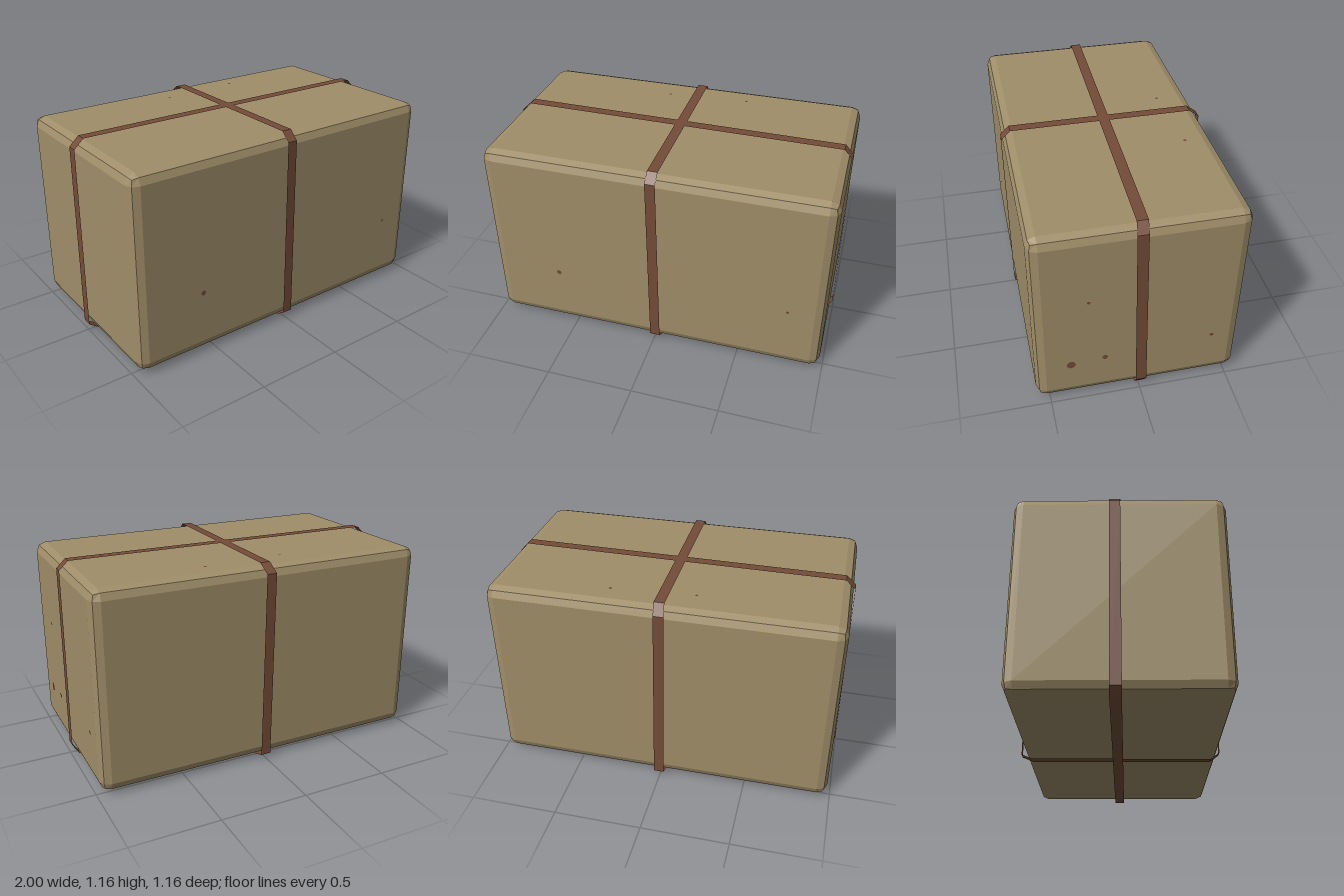
import * as THREE from 'three';
import { RoundedBoxGeometry } from 'three/addons/geometries/RoundedBoxGeometry.js';

const paper = new THREE.MeshStandardMaterial({ color: 0xa08e69, flatShading: true });
paper.name = 'brown paper';
const leather = new THREE.MeshStandardMaterial({ color: 0x744c38, flatShading: true, side: THREE.DoubleSide });
leather.name = 'strap brown';

// Closed thin ribbon; each point is [u, y, drift], the width runs across the loop
function ribbon(points, width, place) {
  const pos = [], index = [], n = points.length;
  for (const [u, y, drift] of points) {
    pos.push(...place(u, y, drift - width / 2), ...place(u, y, drift + width / 2));
  }
  for (let i = 0; i < n; i++) {
    const a = i * 2, b = ((i + 1) % n) * 2;
    index.push(a, b, a + 1, a + 1, b, b + 1);
  }
  const g = new THREE.BufferGeometry();
  g.setAttribute('position', new THREE.Float32BufferAttribute(pos, 3));
  g.setIndex(index);
  g.computeVertexNormals();
  return g;
}

export function createModel() {
  const group = new THREE.Group();
  const add = (geometry, material, name) => {
    const mesh = new THREE.Mesh(geometry, material);
    mesh.name = name;
    group.add(mesh);
    return mesh;
  };

  // Wrapped parcel with two-step bevelled edges
  add(new RoundedBoxGeometry(1.96, 1.125, 1.13, 1, 0.055), paper, 'parcel').position.set(0, 0.592, 0.008);

  // Strap over the front, top, back and bottom
  add(ribbon([
    [0.582, 0.05, 0.008], [0.582, 1.12, 0], [0.53, 1.17, 0],
    [-0.51, 1.17, 0], [-0.572, 1.12, -0.01],
    [-0.575, 0.04, 0.005], [-0.51, 0.014, 0.005], [0.53, 0.012, 0.01],
  ], 0.058, (z, y, x) => [x, y, z]), leather, 'shortStrap');

  // Strap over the two ends, top and bottom, slightly skewed
  add(ribbon([
    [0.995, 0.07, -0.008], [0.985, 1.12, 0.012], [0.935, 1.171, 0.005],
    [-0.935, 1.171, -0.02], [-0.99, 1.12, -0.02],
    [-1, 0.05, -0.012], [-0.94, 0.008, -0.012], [0.955, 0.01, -0.01],
  ], 0.06, (x, y, z) => [x, y, z]), leather, 'longStrap');

  // Small stains: [x, y, z, radius] on the sides and top
  const stains = [
    [0.982, 0.27, 0.38, 0.026], [0.982, 0.29, 0.195, 0.016], [0.982, 0.33, -0.4, 0.012],
    [0.982, 0.72, 0.28, 0.01], [-0.58, 0.39, 0.575, 0.015], [0.775, 0.42, 0.575, 0.009],
    [0.3, 1.156, -0.4, 0.01], [-0.17, 1.156, -0.37, 0.009],
  ];
  for (const [x, y, z, r] of stains) {
    const stain = add(new THREE.CircleGeometry(r, 7), leather, 'stain');
    stain.position.set(x, y, z);
    if (x > 0.98) stain.rotation.y = Math.PI / 2;
    else if (y > 1.15) stain.rotation.x = -Math.PI / 2;
  }
  return group;
}
